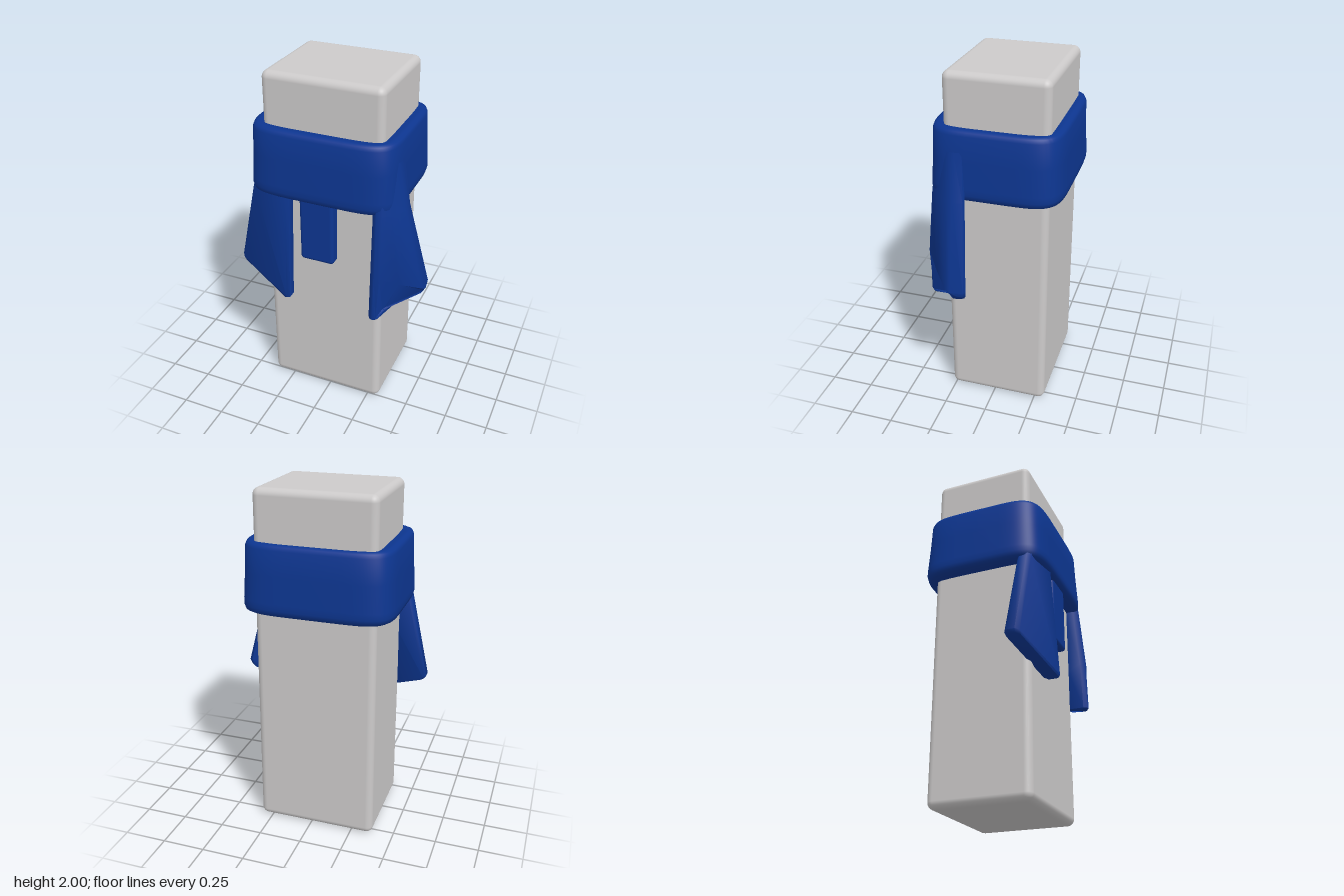
import * as THREE from 'three';
import { toCreasedNormals } from 'three/addons/utils/BufferGeometryUtils.js';
import { RoundedBoxGeometry } from 'three/addons/geometries/RoundedBoxGeometry.js';

// Skin over closed loops listed from top to bottom, each anticlockwise seen from above
function loft(rows, capped) {
  const n = rows[0].length;
  const pos = rows.flat().flatMap((p) => p.toArray());
  const index = [];
  for (let i = 0; i < rows.length - 1; i++) {
    for (let j = 0; j < n; j++) {
      const k = (j + 1) % n;
      const a = i * n + j, b = a + n, c = (i + 1) * n + k, d = i * n + k;
      index.push(a, b, c, a, c, d);
    }
  }
  if (capped) {
    const last = (rows.length - 1) * n;
    pos.push(...centre(rows.at(-1)).toArray());
    for (let j = 0; j < n; j++) index.push(rows.length * n, last + ((j + 1) % n), last + j);
  }
  const g = new THREE.BufferGeometry();
  g.setAttribute('position', new THREE.Float32BufferAttribute(pos, 3));
  g.setIndex(index);
  return toCreasedNormals(g, 0.9);
}

function centre(loop) {
  return loop.reduce((s, p) => s.add(p), new THREE.Vector3()).divideScalar(loop.length);
}

// Replace each corner of a loop by two points, giving softened edges
function soften(loop, r = 0.018) {
  const step = (p, q) => p.clone().lerp(q, Math.min(0.35, r / p.distanceTo(q)));
  return loop.flatMap((p, i) => [
    step(p, loop[(i + loop.length - 1) % loop.length]),
    step(p, loop[(i + 1) % loop.length]),
  ]);
}

// Hanging cloth end with a softened lower rim
function tailGeometry(sections) {
  const rows = sections.map((s) => soften(s.map((p) => new THREE.Vector3(...p))));
  const rim = rows.at(-1);
  const c = centre(rim);
  const tip = rim.map((p) => p.clone().lerp(c, Math.min(0.3, 0.015 / p.distanceTo(c))));
  rows[rows.length - 1] = rim.map((p) => p.clone().setY(p.y + 0.015));
  rows.push(tip);
  return loft(rows, true);
}

// Bulging rounded rectangle in plan
function bandLoop([hx, hz, y]) {
  const pts = [];
  for (let i = 0; i < 96; i++) {
    const t = (-i / 96) * Math.PI * 2;
    const c = Math.cos(t), s = Math.sin(t), e = 2 / 5.5;
    pts.push(new THREE.Vector3(
      -0.031 + hx * Math.sign(c) * Math.abs(c) ** e, y,
      -0.011 + hz * Math.sign(s) * Math.abs(s) ** e));
  }
  return pts;
}

export function createModel() {
  const model = new THREE.Group();
  const grey = new THREE.MeshStandardMaterial({ color: 0xcccaca });
  grey.name = 'light grey';
  const blue = new THREE.MeshStandardMaterial({ color: 0x0d3691 });
  blue.name = 'deep blue';
  const add = (name, geometry, material) => {
    const mesh = new THREE.Mesh(geometry, material);
    mesh.name = name;
    model.add(mesh);
    return mesh;
  };

  // Block body, narrowing slightly upwards
  const block = new RoundedBoxGeometry(0.7, 2, 0.58, 4, 0.04);
  const p = block.attributes.position;
  for (let i = 0; i < p.count; i++) p.setX(i, p.getX(i) * (0.99 - 0.01 * p.getY(i)));
  add('body', block, grey).position.set(-0.028, 1, -0.02);

  // Scarf band: half width, half depth, height over the rim, down and under
  add('scarfBand', loft([
    [0.31, 0.25, 1.7], [0.37, 0.31, 1.715], [0.395, 0.335, 1.718], [0.41, 0.35, 1.71],
    [0.417, 0.358, 1.69], [0.423, 0.363, 1.55], [0.432, 0.371, 1.4], [0.433, 0.372, 1.365],
    [0.426, 0.365, 1.338], [0.41, 0.35, 1.327], [0.38, 0.32, 1.325], [0.31, 0.25, 1.335],
  ].map(bandLoop), false), blue);

  // Left tail, folded back at its lower end
  add('leftTail', tailGeometry([
    [[0.28, 1.6, 0.3], [0.32, 1.6, 0.31], [0.36, 1.6, 0.26], [0.395, 1.6, 0.2], [0.385, 1.6, 0.12], [0.28, 1.6, 0.2]],
    [[0.283, 1.33, 0.33], [0.33, 1.33, 0.345], [0.39, 1.33, 0.28], [0.44, 1.33, 0.2], [0.42, 1.33, 0.11], [0.28, 1.33, 0.24]],
    [[0.287, 0.97, 0.36], [0.335, 0.97, 0.375], [0.45, 0.9, 0.285], [0.557, 0.84, 0.19], [0.54, 0.84, 0.08], [0.287, 0.92, 0.25]],
    [[0.285, 0.67, 0.37], [0.327, 0.67, 0.38], [0.34, 0.68, 0.26], [0.55, 0.8, 0.15], [0.53, 0.8, 0.085], [0.285, 0.67, 0.24]],
  ]), blue);

  // Right tail, flaring outwards
  add('rightTail', tailGeometry([
    [[-0.41, 1.42, 0.26], [-0.41, 1.42, 0.31], [-0.2, 1.42, 0.345], [-0.2, 1.42, 0.26]],
    [[-0.44, 1.33, 0.22], [-0.44, 1.33, 0.3], [-0.2, 1.33, 0.345], [-0.2, 1.33, 0.26]],
    [[-0.557, 0.82, 0.19], [-0.557, 0.82, 0.275], [-0.2, 0.67, 0.385], [-0.2, 0.67, 0.3]],
  ]), blue);

  // Short tab hanging in the middle
  add('middleTab', new RoundedBoxGeometry(0.2, 0.45, 0.09, 3, 0.02), blue).position.set(-0.041, 1.175, 0.285);

  return model;
}
